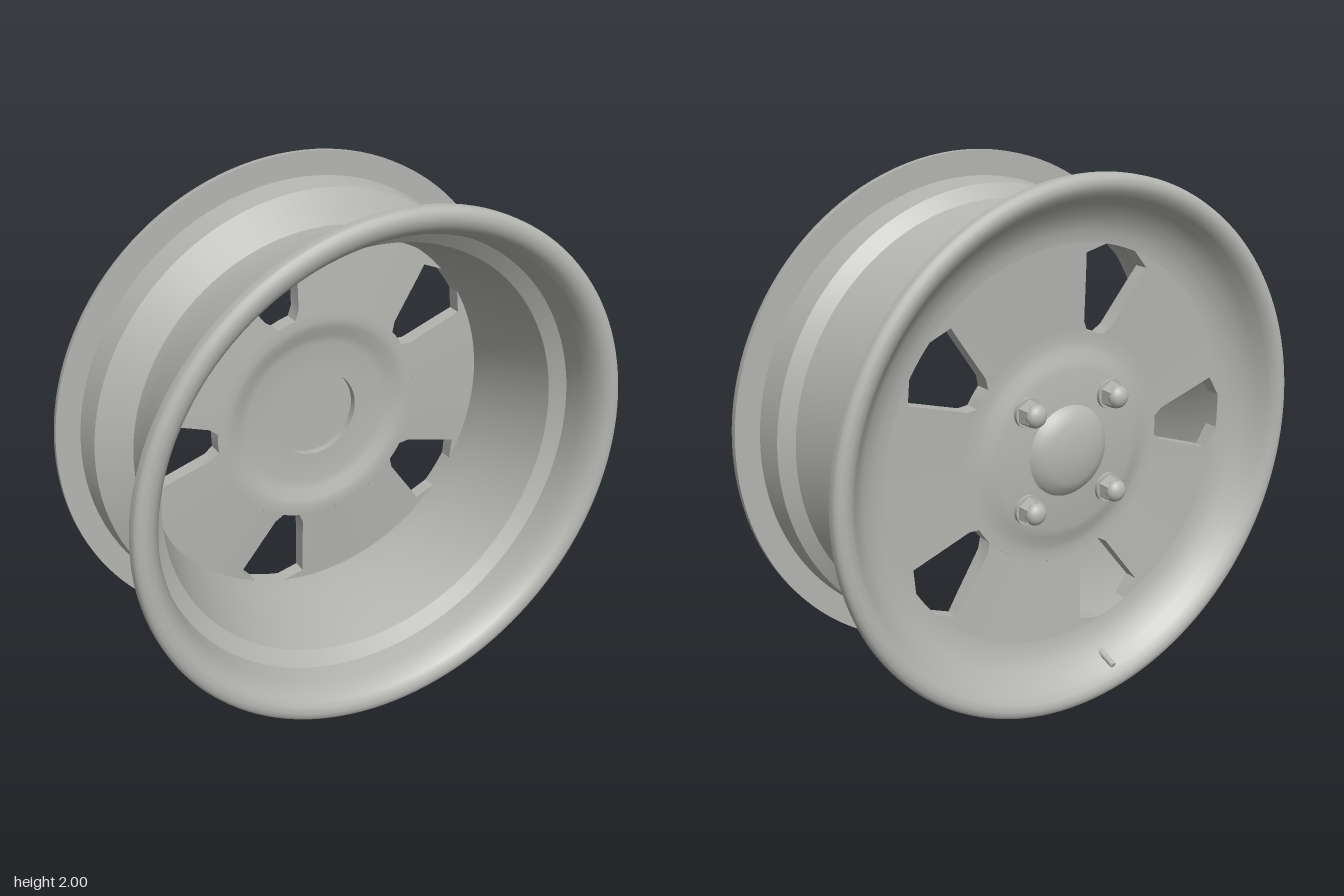
import * as THREE from 'three';
import { toCreasedNormals } from 'three/addons/utils/BufferGeometryUtils.js';

const CREASE = 0.64;

// Revolve a [radius, z] profile around the wheel axis (z)
function revolve(profile, segments = 96) {
  const pts = profile.map(([r, z]) => new THREE.Vector2(r, z));
  const geo = new THREE.LatheGeometry(pts, segments).rotateX(Math.PI / 2);
  return toCreasedNormals(geo, CREASE);
}

// One spoke: closed cross-sections stepped outwards; h is the window's half width
function spokeGeometry() {
  const rows = [[0.435, 0.038], [0.47, 0.065], [0.55, 0.091], [0.64, 0.12], [0.715, 0.145], [0.752, 0.065]];
  const columns = 14;
  const ring = 2 * (columns + 1);
  const positions = [];
  const index = [];
  rows.forEach(([r, h], i) => {
    const half = Math.PI / 5 - Math.asin(h / r);
    const t = (r - 0.435) / 0.315;
    for (let j = 0; j < ring; j++) {
      const front = j <= columns;
      const k = front ? j : ring - 1 - j;
      const a = half * (2 * k / columns - 1);
      const z = front ? -0.1925 - 0.0225 * t : -0.2545 - 0.0155 * t;
      positions.push(r * Math.cos(a), r * Math.sin(a), z);
      if (i > 0) {
        const n = (j + 1) % ring;
        const p = (i - 1) * ring, q = i * ring;
        index.push(p + j, q + j, q + n, p + j, q + n, p + n);
      }
    }
  });
  const geo = new THREE.BufferGeometry();
  geo.setAttribute('position', new THREE.Float32BufferAttribute(positions, 3));
  geo.setIndex(index);
  return toCreasedNormals(geo, CREASE);
}

export function createModel() {
  const metal = new THREE.MeshStandardMaterial({ color: 0xb4b4b1 });
  metal.name = 'grey metal';

  const model = new THREE.Group();
  model.name = 'wheelRim';
  const wheel = new THREE.Group();
  wheel.name = 'wheel';
  wheel.position.y = 1;
  model.add(wheel);

  const add = (name, geo, parent = wheel) => {
    const mesh = new THREE.Mesh(geo, metal);
    mesh.name = name;
    parent.add(mesh);
    return mesh;
  };

  // Barrel with drop centre, both flanges and the dished outer lip
  add('barrel', revolve([
    [0.985, -0.4], [0.996, -0.392], [1, -0.38], [1, -0.36], [0.907, -0.36],
    [0.892, -0.255], [0.77, -0.19], [0.77, -0.1], [0.84, 0.2], [0.892, 0.24],
    [0.905, 0.355], [1, 0.355], [1, 0.38], [0.996, 0.392], [0.985, 0.4],
    [0.965, 0.405], [0.94, 0.4], [0.92, 0.385], [0.9, 0.355], [0.885, 0.31],
    [0.875, 0.23], [0.82, 0.19], [0.75, -0.1], [0.75, -0.27], [0.79, -0.275],
    [0.85, -0.3], [0.892, -0.34], [0.918, -0.375], [0.94, -0.397], [0.965, -0.405],
    [0.985, -0.4],
  ], 128));

  // Raised hub with a shallow bore on the inner side
  add('hub', revolve([
    [0, -0.28], [0.3, -0.28], [0.335, -0.272], [0.37, -0.258], [0.4, -0.254],
    [0.435, -0.2545], [0.435, -0.1925], [0.4, -0.19], [0.37, -0.195],
    [0.335, -0.212], [0.3, -0.22], [0.175, -0.22], [0.175, -0.25], [0, -0.25],
  ]));

  // Domed centre cap
  add('centreCap', revolve([
    [0, -0.33], [0.06, -0.327], [0.115, -0.317], [0.155, -0.3], [0.175, -0.275],
  ], 64));

  // Five wide spokes, leaving five windows between them
  const spoke = spokeGeometry();
  for (let i = 0; i < 5; i++) {
    add('spoke', spoke).rotation.z = i * Math.PI * 2 / 5;
  }

  // Four lug nuts: washer, hexagon and domed end
  const washer = toCreasedNormals(
    new THREE.CylinderGeometry(0.056, 0.056, 0.016, 24).rotateX(Math.PI / 2), CREASE);
  const hexagon = toCreasedNormals(
    new THREE.CylinderGeometry(0.052, 0.045, 0.045, 6).rotateX(Math.PI / 2), CREASE);
  const dome = new THREE.SphereGeometry(0.042, 24, 12);
  for (const x of [-0.183, 0.183]) {
    for (const y of [-0.183, 0.183]) {
      const nut = new THREE.Group();
      nut.name = 'lugNut';
      nut.position.set(x, y, -0.28);
      add('nutWasher', washer, nut).position.z = -0.006;
      add('nutHexagon', hexagon, nut).position.z = -0.034;
      const end = add('nutDome', dome, nut);
      end.position.z = -0.052;
      end.scale.z = 0.75;
      wheel.add(nut);
    }
  }

  // Valve stem slanting from the drop centre out through the lip
  const valve = new THREE.Group();
  valve.name = 'valve';
  valve.rotation.z = -0.17;
  wheel.add(valve);
  const inner = new THREE.Vector3(0, -0.825, -0.2);
  const outer = new THREE.Vector3(0, -0.9, -0.385);
  const along = outer.clone().sub(inner);
  const turn = new THREE.Quaternion().setFromUnitVectors(
    new THREE.Vector3(0, 1, 0), along.clone().normalize());
  const stem = add('valveStem', new THREE.CylinderGeometry(0.012, 0.012, along.length(), 16), valve);
  stem.position.copy(inner).addScaledVector(along, 0.5);
  stem.quaternion.copy(turn);
  const base = add('valveBase', new THREE.CylinderGeometry(0.024, 0.024, 0.04, 16), valve);
  base.position.copy(inner);
  base.quaternion.copy(turn);

  return model;
}
